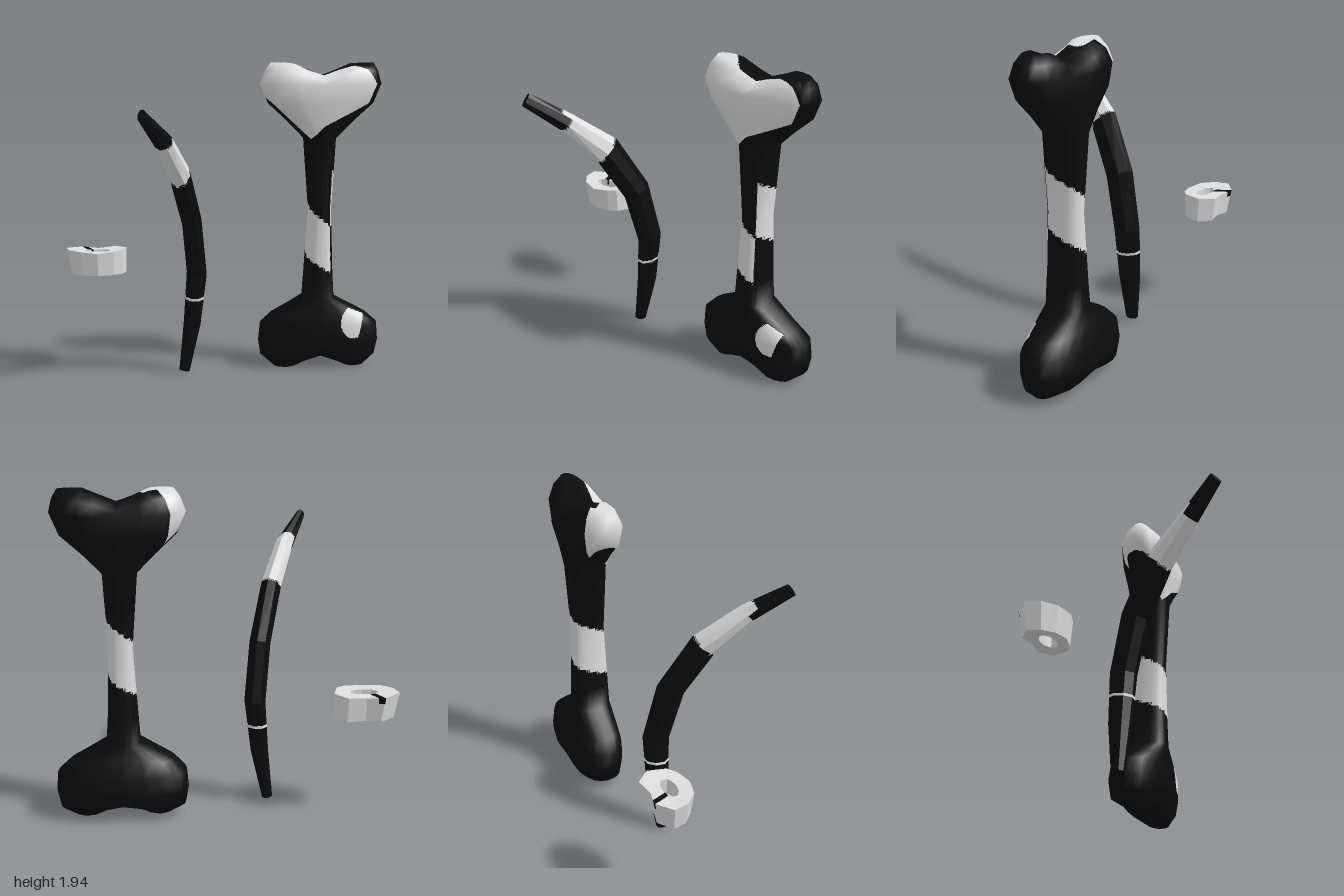
import * as THREE from 'three';

const dark = new THREE.MeshStandardMaterial({ color: 0x0c0c0c });
dark.name = 'black';
const light = new THREE.MeshStandardMaterial({ color: 0xdedede });
light.name = 'pale grey';

const V = (x, y, z) => new THREE.Vector3(x, y, z);

// Joins rings of points (counter-clockwise from above) into a skin, optionally capped
function loft(rings, { caps = true, flat = false } = {}) {
  const n = rings[0].length, pts = rings.flat(), index = [];
  for (let i = 0; i < rings.length - 1; i++) {
    for (let j = 0; j < n; j++) {
      const a = i * n + j, b = i * n + (j + 1) % n;
      index.push(a, b, b + n, a, b + n, a + n);
    }
  }
  if (caps) {
    [0, rings.length - 1].forEach((r, top) => {
      const ring = rings[r], centre = V(0, 0, 0);
      ring.forEach((p) => centre.addScaledVector(p, 1 / n));
      if (ring.notch !== undefined) centre.y = ring.notch;
      const c = pts.push(centre) - 1;
      for (let j = 0; j < n; j++) {
        const a = r * n + j, b = r * n + (j + 1) % n;
        if (top) index.push(c, a, b); else index.push(c, b, a);
      }
    });
  }
  let geo = new THREE.BufferGeometry().setFromPoints(pts);
  geo.setIndex(index);
  if (flat) geo = geo.toNonIndexed();
  geo.computeVertexNormals();
  return geo;
}

// Splits faces crossed by a colour border, and sorts all faces into dark and light groups
function paint(geo, isLight, n = 16) {
  const g = geo.index ? geo.toNonIndexed() : geo;
  const P = g.attributes.position, N = g.attributes.normal;
  const out = [{ p: [], n: [] }, { p: [], n: [] }];
  const mix = (t, u, v) => t[0].clone().multiplyScalar(1 - u - v).addScaledVector(t[1], u).addScaledVector(t[2], v);
  for (let i = 0; i < P.count; i += 3) {
    const p = [0, 1, 2].map((k) => V().fromBufferAttribute(P, i + k));
    const m = [0, 1, 2].map((k) => V().fromBufferAttribute(N, i + k));
    const cells = [];
    for (let a = 0; a < n; a++) {
      for (let b = 0; b < n - a; b++) {
        cells.push([[a, b], [a + 1, b], [a, b + 1]]);
        if (a + b < n - 1) cells.push([[a + 1, b], [a + 1, b + 1], [a, b + 1]]);
      }
    }
    const kinds = cells.map((c) => {
      const u = (c[0][0] + c[1][0] + c[2][0]) / 3 / n, v = (c[0][1] + c[1][1] + c[2][1]) / 3 / n;
      return isLight(mix(p, u, v)) ? 1 : 0;
    });
    const add = (c, kind) => c.forEach(([a, b]) => {
      out[kind].p.push(...mix(p, a / n, b / n).toArray());
      out[kind].n.push(...mix(m, a / n, b / n).normalize().toArray());
    });
    if (kinds.every((k) => k === kinds[0])) add([[0, 0], [n, 0], [0, n]], kinds[0]);
    else cells.forEach((c, k) => add(c, kinds[k]));
  }
  const res = new THREE.BufferGeometry();
  res.setAttribute('position', new THREE.Float32BufferAttribute([...out[0].p, ...out[1].p], 3));
  res.setAttribute('normal', new THREE.Float32BufferAttribute([...out[0].n, ...out[1].n], 3));
  const d = out[0].p.length / 3;
  res.addGroup(0, d, 0);
  res.addGroup(d, out[1].p.length / 3, 1);
  return res;
}

function part(name, geo, material) {
  const mesh = new THREE.Mesh(geo, material);
  mesh.name = name;
  return mesh;
}

// Long bone: y at the middle, x range, z range, and lift of the two knuckles
function longBone() {
  const rows = [
    [0.08, 0.32, 0.90, -0.37, -0.20, -0.075],
    [0.11, 0.235, 0.98, -0.47, -0.155, -0.035],
    [0.17, 0.22, 1.0, -0.485, -0.14, 0],
    [0.28, 0.23, 0.99, -0.47, -0.14, 0],
    [0.40, 0.30, 0.91, -0.43, -0.15, -0.05],
    [0.46, 0.50, 0.70, -0.41, -0.155, 0],
    [0.61, 0.51, 0.69, -0.40, -0.16, 0],
    [1.02, 0.535, 0.675, -0.38, -0.17, 0],
    [1.47, 0.50, 0.70, -0.40, -0.145, 0],
    [1.58, 0.39, 0.81, -0.41, -0.125, 0],
    [1.69, 0.27, 0.935, -0.42, -0.11, 0],
    [1.80, 0.22, 0.985, -0.42, -0.10, 0.01],
    [1.83, 0.25, 0.965, -0.385, -0.135, 0.06],
    [1.86, 0.285, 0.935, -0.32, -0.19, 0.08],
  ];
  const bend = (v) => Math.sign(v) * Math.abs(v) ** 0.8;
  const rings = rows.map(([y, x0, x1, z0, z1, lift]) => {
    const ring = [];
    for (let j = 0; j < 24; j++) {
      const t = (j / 24) * Math.PI * 2;
      const x = (x0 + x1) / 2 + bend(Math.cos(t)) * (x1 - x0) / 2;
      const z = (z0 + z1) / 2 - bend(Math.sin(t)) * (z1 - z0) / 2;
      ring.push(V(x, y + lift * THREE.MathUtils.smoothstep(Math.abs(x - 0.605), 0, 0.22), z));
    }
    ring.notch = y;
    return ring;
  });
  const isLight = ({ x, y, z }) => {
    if (y > 1.4) { // upper head: front face and one whole knuckle
      const low = x < 0.53 ? 1.71 - 0.93 * (x - 0.27) : x < 0.61 ? 1.47 + (x - 0.53) : 1.55 + 0.5 * (x - 0.61);
      const front = z > -0.2 + 0.1 * Math.max(0, x - 0.6) && x < 0.955;
      return y > low && (front || x - z < 0.69);
    }
    if (y > 0.5) { // band winding once round the shaft
      const phi = Math.atan2((z + 0.275) / 0.105, (x - 0.605) / 0.07);
      const u = ((Math.PI * 2.25 - phi) / (Math.PI * 2)) % 1;
      return y < 1.27 - 0.35 * u && y > 0.93 - 0.31 * u;
    }
    // patch on the lower knuckle
    return z > -0.28 && y > 0.2 && x < 0.845 + 0.267 * (y - 0.2)
      && y < 0.385 - 0.41 * (x - 0.8) && Math.hypot(x - 0.84, y - 0.3) < 0.11;
  };
  return part('longBone', paint(loft(rings), isLight), [dark, light]);
}

// Rib: centre, radius across, radius front to back
const ribPath = [
  [-0.265, 0.02, -0.165, 0.034, 0.04],
  [-0.215, 0.32, -0.175, 0.055, 0.07],
  [-0.185, 0.64, -0.17, 0.065, 0.083],
  [-0.22, 0.98, -0.088, 0.065, 0.09],
  [-0.30, 1.28, 0.085, 0.065, 0.092],
  [-0.405, 1.49, 0.31, 0.055, 0.06],
  [-0.53, 1.645, 0.505, 0.026, 0.045],
];

function tubeRings(path, sides) {
  return path.map((s, i) => {
    const a = path[Math.max(0, i - 1)], b = path[Math.min(path.length - 1, i + 1)];
    const T = V(b[0] - a[0], b[1] - a[1], b[2] - a[2]).normalize();
    const N = V(1, 0, 0).addScaledVector(T, -T.x).normalize();
    const B = T.clone().cross(N);
    return Array.from({ length: sides }, (_, j) => {
      const t = ((j + 0.5) / sides) * Math.PI * 2;
      return V(s[0], s[1], s[2]).addScaledVector(N, Math.cos(t) * s[3]).addScaledVector(B, Math.sin(t) * s[4]);
    });
  });
}

function rib() {
  const from = V(...ribPath[4]), along = V(...ribPath[5]).sub(from);
  const isLight = (p) => {
    const t = p.clone().sub(from).dot(along) / along.lengthSq();
    const back = (p.z - 0.31) - (p.y - 1.49) < -0.03;
    return t > 0 && t < (back ? 1.2 : 0.98);
  };
  const group = new THREE.Group();
  group.name = 'rib';
  group.add(part('ribShaft', paint(loft(tubeRings(ribPath, 8), { flat: true }), isLight), [dark, light]));
  // thin pale line round the lower half
  const line = [[-0.2, 0.481, -0.1725, 0.0622, 0.0785], [-0.198, 0.497, -0.1722, 0.0627, 0.079]];
  const rings = tubeRings(line, 8);
  rings.flat().forEach((p) => { p.y += 0.12 * (p.x + 0.2) - 0.1 * (p.z + 0.17); });
  group.add(part('ribLine', loft(rings, { flat: true }), light));
  return group;
}

// Vertebra: a chunky ring with a dented back and a dark crack
function vertebra() {
  const outline = [[-0.62, -0.43], [-0.69, -0.51], [-0.80, -0.49], [-0.90, -0.515], [-1.0, -0.44],
    [-0.98, -0.35], [-0.91, -0.28], [-0.80, -0.25], [-0.70, -0.28], [-0.65, -0.32]];
  const top = outline.map(([x, z]) => V(x, 0.755 + 0.012 * Math.min(1, Math.abs(x + 0.8) / 0.15), z));
  const bottom = outline.map(([x, z]) => V(x < -0.8 ? -0.8 + (x + 0.8) * 0.85 : x, 0.612, -0.37 + (z + 0.37) * 0.85));
  const hole = (y) => outline.map(([x, z]) => {
    const a = Math.atan2((z + 0.378) / 0.13, (x + 0.8) / 0.19);
    return V(-0.8 + Math.cos(a) * 0.085, y, -0.378 + Math.sin(a) * 0.043);
  });
  const geo = loft([bottom, top, hole(0.757), hole(0.612), bottom], { caps: false, flat: true });
  const isLight = ({ x, y, z }) => {
    const mid = -0.885 + 0.42 * (z + 0.51);
    return !(y > 0.725 && z < -0.415 && Math.abs(x - mid) < 0.018);
  };
  return part('vertebra', paint(geo, isLight, 20), [dark, light]);
}

export function createModel() {
  const model = new THREE.Group();
  model.name = 'bones';
  model.add(longBone(), rib(), vertebra());
  return model;
}
